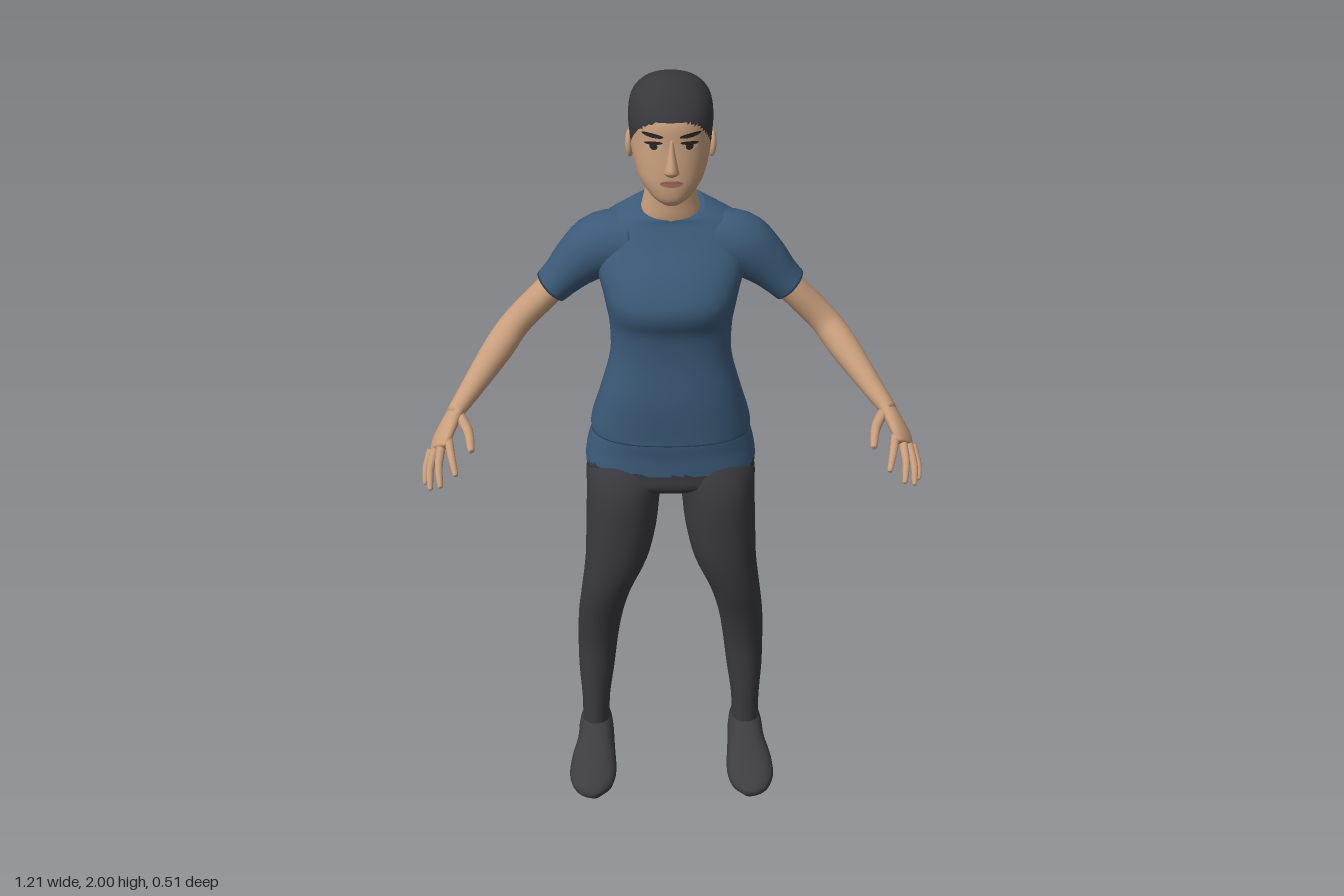
import * as THREE from 'three';

const V = (x, y, z) => new THREE.Vector3(x, y, z);

// Catmull-Rom interpolation through rows of numbers
function smooth(rows, steps) {
  const out = [], last = rows.length - 1;
  const at = i => rows[Math.min(last, Math.max(0, i))];
  for (let i = 0; i < last; i++) {
    const [a, b, c, d] = [at(i - 1), at(i), at(i + 1), at(i + 2)];
    for (let s = 0; s < steps; s++) {
      const t = s / steps;
      out.push(b.map((q, k) => {
        const cubic = 3 * (q - c[k]) + d[k] - a[k];
        const square = 2 * a[k] - 5 * q + 4 * c[k] - d[k];
        return q + 0.5 * t * (c[k] - a[k] + t * (square + t * cubic));
      }));
    }
  }
  out.push(rows[last]);
  return out;
}

const power = (c, n) => Math.sign(c) * Math.abs(c) ** (2 / n);

// Closed skin over rings of points; rule(point) picks material group 0 or 1
function skin(rings, rule = () => false) {
  const seg = rings[0].length, pts = rings.flat(), lists = [[], []];
  const face = (a, b, c) => {
    const m = V(0, 0, 0).add(pts[a]).add(pts[b]).add(pts[c]).divideScalar(3);
    lists[rule(m) ? 1 : 0].push(a, b, c);
  };
  for (let i = 0; i < rings.length - 1; i++) {
    for (let j = 0; j < seg; j++) {
      const a = i * seg + j, b = i * seg + (j + 1) % seg;
      face(a, b, a + seg);
      face(b, b + seg, a + seg);
    }
  }
  // end caps
  [0, rings.length - 1].forEach((r, e) => {
    pts.push(rings[r].reduce((s, p) => s.add(p), V(0, 0, 0)).divideScalar(seg));
    for (let j = 0; j < seg; j++) {
      const a = r * seg + j, b = r * seg + (j + 1) % seg;
      if (e) face(a, b, pts.length - 1);
      else face(b, a, pts.length - 1);
    }
  });
  // turn faces outward
  const mid = pts.reduce((s, p) => s.add(p), V(0, 0, 0)).divideScalar(pts.length);
  const all = lists.flat();
  let volume = 0;
  for (let i = 0; i < all.length; i += 3) {
    const [a, b, c] = [0, 1, 2].map(k => pts[all[i + k]].clone().sub(mid));
    volume += a.dot(b.cross(c));
  }
  if (volume < 0) lists.forEach(l => l.reverse());
  const g = new THREE.BufferGeometry().setFromPoints(pts);
  g.setIndex(lists.flat());
  if (lists[1].length) {
    g.addGroup(0, lists[0].length, 0);
    g.addGroup(lists[0].length, lists[1].length, 1);
  }
  g.computeVertexNormals();
  return g;
}

// Level rings; rows are [y, xCentre, xRadius, zFront, zBack, tilt]
function levelRings(rows, seg = 32, n = 2.2, steps = 4) {
  return smooth(rows, steps).map(([y, cx, rx, zf, zb, tilt]) => Array.from({ length: seg }, (_, j) => {
    const a = j / seg * Math.PI * 2, dz = power(Math.sin(a), n) * (zf - zb) / 2;
    return V(cx + rx * power(Math.cos(a), n), y + tilt * dz, (zf + zb) / 2 + dz);
  }));
}
const level = (rows, ...o) => skin(levelRings(rows, ...o));

// Rings across a path; rows are [x, y, z, sideRadius, refRadius], s mirrors in x
function limb(rows, ref, s = 1, seg = 16, n = 2) {
  const path = smooth(rows, 4).map(([x, ...q]) => [x * s, ...q]);
  const at = i => V(...path[Math.max(0, Math.min(path.length - 1, i))].slice(0, 3));
  const r = V(ref[0] * s, ref[1], ref[2]);
  return skin(path.map((row, i) => {
    const dir = at(i + 1).sub(at(i - 1)).normalize();
    const u = dir.clone().cross(r).normalize(), v = u.clone().cross(dir);
    return Array.from({ length: seg }, (_, j) => {
      const a = j / seg * Math.PI * 2;
      return at(i).addScaledVector(u, row[3] * power(Math.cos(a), n)).addScaledVector(v, row[4] * power(Math.sin(a), n));
    });
  }));
}

export function createModel() {
  const root = new THREE.Group();
  const mat = (name, color) => Object.assign(new THREE.MeshStandardMaterial({ color }), { name });
  const skinTone = mat('skin', 0xc89e7c), shirt = mat('shirt blue', 0x3b5a78), trousers = mat('trouser charcoal', 0x3a393f);
  const hair = mat('hair', 0x38373c), shoe = mat('shoe charcoal', 0x3d3c41), dark = mat('eye dark', 0x2b2220);
  const white = mat('eye white', 0xb8a99e), lip = mat('lip', 0xa06c58);
  const add = (name, geometry, material) => {
    const m = new THREE.Mesh(geometry, material);
    m.name = name;
    root.add(m);
    return m;
  };

  // shirt body with a lowered front neckline
  add('shirtBody', level([
    [1.08, 0, .203, .055, -.212, 0], [1.11, 0, .2, .056, -.203, 0], [1.2, 0, .175, .06, -.16, 0],
    [1.3, 0, .15, .055, -.14, 0], [1.38, 0, .15, .06, -.158, 0], [1.43, 0, .157, .08, -.172, 0],
    [1.47, 0, .165, .08, -.18, 0], [1.53, 0, .18, .05, -.188, 0], [1.59, 0, .185, .008, -.185, 0],
    [1.635, 0, .165, -.02, -.17, 0], [1.662, 0, .115, -.025, -.152, -.2], [1.675, 0, .078, -.025, -.14, -.4],
  ], 48, 2.5), shirt);

  // hips: shirt tail above, trousers below a ragged edge
  const hips = levelRings([
    [1.12, 0, .18, .03, -.18, 0], [1.08, 0, .197, .04, -.203, 0], [1.03, 0, .213, .036, -.215, 0],
    [.98, 0, .218, .036, -.2, 0], [.94, 0, .2, .035, -.18, 0], [.91, 0, .1, 0, -.12, 0], [.9, 0, .03, -.03, -.08, 0],
  ], 64, 2.4, 6);
  add('hips', skin(hips, p => p.y < .982 + .012 * Math.sin(p.x * 55) * Math.cos(p.z * 40)), [shirt, trousers]);

  // neck
  add('neck', level([
    [1.6, 0, .08, -.04, -.14, 0], [1.65, 0, .075, -.025, -.135, 0], [1.69, 0, .066, -.022, -.133, 0],
    [1.73, 0, .059, -.02, -.13, 0], [1.78, 0, .058, -.02, -.13, 0], [1.85, 0, .055, -.02, -.125, 0],
  ], 24, 2), skinTone);

  // head with hairline sloping from forehead past the ears to the nape
  const headRound = 2.15;
  const headRings = levelRings([
    [1.718, 0, .022, .048, -.01, 0], [1.735, 0, .046, .062, -.04, 0], [1.77, 0, .073, .066, -.085, 0],
    [1.81, 0, .087, .064, -.128, 0], [1.86, 0, .095, .058, -.157, 0], [1.91, 0, .098, .053, -.168, 0],
    [1.95, 0, .09, .03, -.16, 0], [1.98, 0, .066, 0, -.125, 0], [1.995, 0, .035, -.025, -.09, 0], [2, 0, .006, -.05, -.062, 0],
  ], 72, headRound, 7);
  const hairline = z => 1.84 + (z + .03) * (z > -.03 ? .98 : .6);
  add('head', skin(headRings, p => p.y > hairline(p.z)), [skinTone, hair]);

  // thin oval plates that follow the face
  const faceZ = (x, y) => {
    const ring = headRings.reduce((a, b) => Math.abs(b[0].y - y) < Math.abs(a[0].y - y) ? b : a);
    const front = ring[18].z, back = ring[54].z;
    const bulge = (1 - Math.abs(x / ring[0].x) ** headRound) ** (1 / headRound);
    return (front + back) / 2 + bulge * (front - back) / 2;
  };
  const plate = (name, x, y, rx, ry, turn, lift, material) => {
    const g = new THREE.CircleGeometry(1, 20).scale(rx, ry, 1).rotateZ(turn).translate(x, y, 0);
    const p = g.attributes.position;
    for (let i = 0; i < p.count; i++) p.setZ(i, faceZ(p.getX(i), p.getY(i)) + lift);
    g.computeVertexNormals();
    add(name, g, material);
  };
  plate('mouth', 0, 1.778, .027, .008, 0, .003, lip);
  add('nose', level([
    [1.878, 0, .006, .058, .03, 0], [1.845, 0, .01, .07, .03, 0], [1.812, 0, .016, .084, .03, 0],
    [1.802, 0, .019, .08, .03, 0], [1.794, 0, .012, .068, .03, 0],
  ], 16, 2), skinTone);

  // ponytail
  add('ponytail', limb([
    [0, 1.925, -.145, .02, .02], [0, 1.927, -.175, .02, .022], [0, 1.9, -.195, .022, .026], [0, 1.84, -.207, .03, .034],
    [0, 1.76, -.216, .038, .041], [0, 1.68, -.218, .034, .036], [0, 1.61, -.214, .02, .022], [0, 1.56, -.213, .004, .004],
  ], [1, 0, 0], 1, 20), hair);

  for (const s of [1, -1]) {
    const side = s > 0 ? 'left' : 'right';

    // face details and ear
    plate(side + 'EyeWhite', .041 * s, 1.863, .019, .008, 0, .003, white);
    plate(side + 'Iris', .041 * s, 1.863, .009, .0075, 0, .0045, dark);
    plate(side + 'Lash', .041 * s, 1.871, .021, .004, -.1 * s, .005, dark);
    plate(side + 'Brow', .043 * s, 1.888, .025, .005, .1 * s, .004, dark);
    const ear = add(side + 'Ear', new THREE.SphereGeometry(1, 14, 10), skinTone);
    ear.scale.set(.01, .033, .019);
    ear.position.set(.095 * s, 1.838, -.045);
    ear.rotation.set(-.2, .25 * s, 0);

    // sleeve and arm
    add(side + 'Sleeve', limb([
      [.09, 1.575, -.085, .08, .08], [.165, 1.568, -.085, .079, .078], [.222, 1.528, -.085, .064, .066],
      [.262, 1.488, -.085, .051, .057], [.291, 1.459, -.085, .046, .054],
    ], [0, 0, 1], s, 28), shirt);
    add(side + 'Arm', limb([
      [.24, 1.51, -.085, .036, .042], [.3, 1.447, -.085, .036, .043], [.378, 1.367, -.08, .036, .039],
      [.425, 1.315, -.035, .037, .038], [.495, 1.24, .055, .026, .029], [.53, 1.204, .1, .019, .026],
    ], [0, 0, 1], s, 20), skinTone);

    // hand
    add(side + 'Palm', limb([
      [.515, 1.22, .082, .018, .024], [.535, 1.195, .11, .018, .032], [.555, 1.165, .145, .016, .041], [.564, 1.148, .168, .01, .036],
    ], [.05, -.05, -.035], s), skinTone);
    const fingers = {
      Thumb: [[.515, 1.203, .105], [.49, 1.19, .16], [.48, 1.17, .213], .012],
      Index: [[.538, 1.173, .165], [.528, 1.152, .212], [.517, 1.125, .25], .0095],
      Middle: [[.556, 1.156, .168], [.56, 1.125, .213], [.555, 1.093, .25], .0095],
      Ring: [[.573, 1.142, .158], [.583, 1.108, .197], [.582, 1.075, .23], .009],
      Pinky: [[.586, 1.13, .142], [.597, 1.098, .172], [.598, 1.07, .196], .008],
    };
    for (const [name, [a, b, c, r]] of Object.entries(fingers)) {
      const tip = c.map((q, k) => q + (q - b[k]) * .08);
      add(side + name, limb([[...a, r * 1.15, r * 1.15], [...b, r, r], [...c, r * .7, r * .7], [...tip, .001, .001]],
        [1, 0, 0], s, 10), skinTone);
    }

    // trouser leg
    add(side + 'Leg', level([
      [1.03, .1, .07, 0, -.14, 0], [.97, .11, .105, .036, -.192, 0], [.9, .122, .096, .055, -.165, 0],
      [.8, .13, .092, .056, -.147, 0], [.7, .144, .082, .05, -.127, 0], [.6, .171, .067, .03, -.12, 0],
      [.5, .19, .06, 0, -.135, 0], [.4, .2, .055, -.022, -.153, 0], [.3, .206, .049, -.026, -.15, 0],
      [.2, .21, .039, -.026, -.132, 0], [.1, .212, .037, -.026, -.128, 0],
    ].map(([y, x, ...q]) => [y, x * s, ...q]), 32, 2.1), trousers);

    // shoe, heel slightly raised
    add(side + 'Shoe', limb([
      [.212, .082, -.143, .012, .025], [.212, .086, -.128, .038, .048], [.212, .083, -.08, .048, .055],
      [.212, .073, -.02, .052, .056], [.218, .05, .04, .063, .042], [.22, .035, .09, .063, .031],
      [.215, .025, .13, .045, .022], [.21, .02, .15, .012, .01],
    ], [0, 1, 0], s, 24, 2.4), shoe);
  }
  return root;
}
